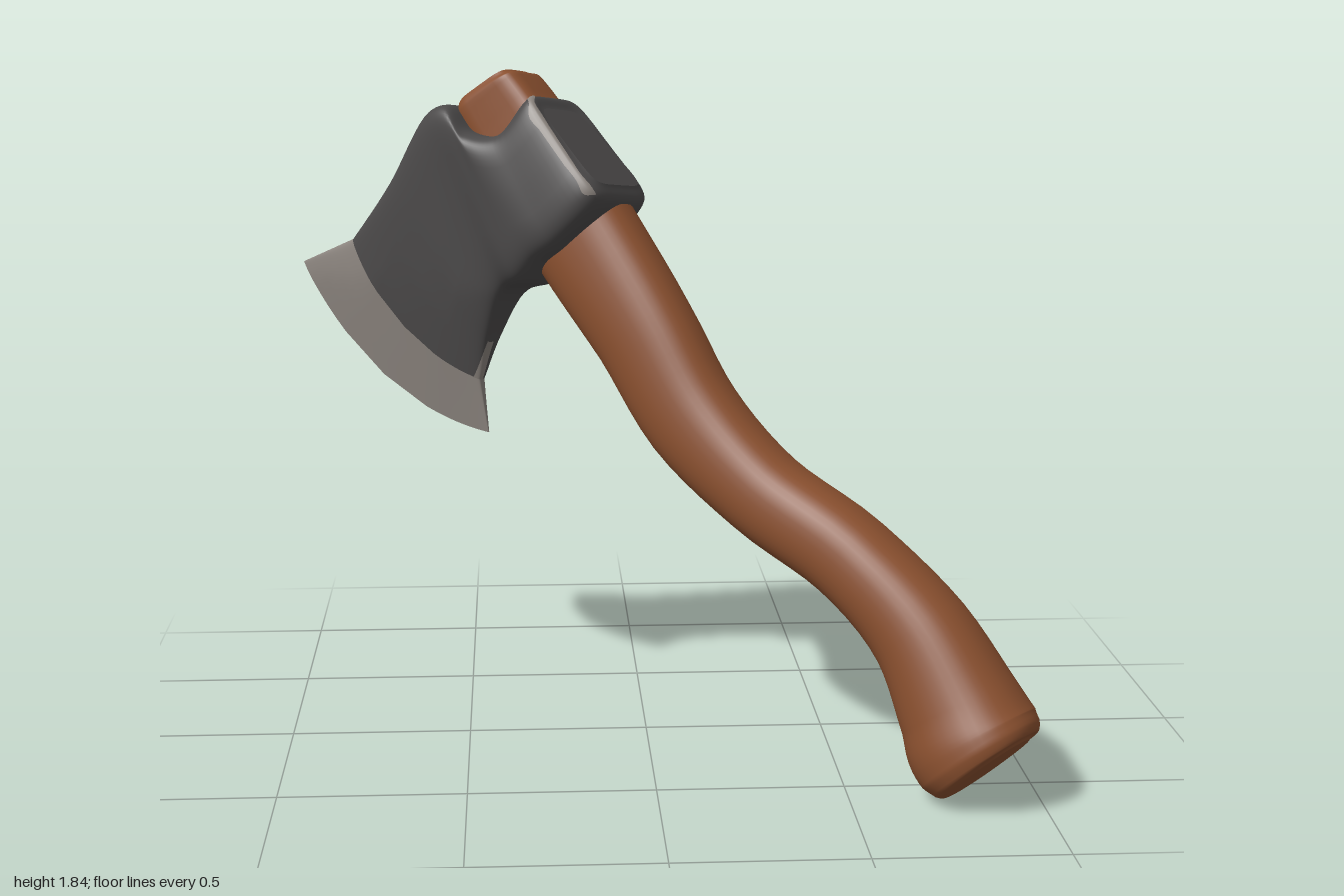
import * as THREE from 'three';

const V = (x, y, z) => new THREE.Vector3(x, y, z);

// The axe lies in one slanted plane; t is the distance off that plane.
const SX = 0.676, SY = -0.157, SZ = 0.09;
const NORMAL = V(-SX, -SY, 1).normalize();
const place = (x, y, t = 0) => V(x, y, SX * x + SY * y + SZ).addScaledVector(NORMAL, t);

const power = (v, p) => Math.sign(v) * Math.abs(v) ** p;

// Skin over a list of rings, with optional flat ends
function loft(rings, { closed = true, startCap = false, endCap = false } = {}) {
  const n = rings[0].length, pos = [], index = [];
  const push = (p) => pos.push(p.x, p.y, p.z) / 3 - 1;
  rings.forEach((ring) => ring.forEach(push));
  for (let i = 0; i < rings.length - 1; i++) {
    for (let j = 0; j < (closed ? n : n - 1); j++) {
      const k = (j + 1) % n;
      const a = i * n + j, b = i * n + k, c = a + n, d = b + n;
      index.push(a, b, c, b, d, c);
    }
  }
  const cap = (ring, flip) => {
    const mid = ring.reduce((s, p) => s.add(p), V(0, 0, 0)).divideScalar(n);
    const centre = push(mid), first = pos.length / 3;
    ring.forEach(push);
    for (let j = 0; j < n; j++) {
      const a = first + j, b = first + (j + 1) % n;
      index.push(centre, flip ? b : a, flip ? a : b);
    }
  };
  if (startCap) cap(rings[0], true);
  if (endCap) cap(rings[rings.length - 1], false);
  const geo = new THREE.BufferGeometry();
  geo.setAttribute('position', new THREE.Float32BufferAttribute(pos, 3));
  geo.setIndex(index);
  geo.computeVertexNormals();
  return geo;
}

// Handle stations: x, y, half width, half thickness, squareness power
const HANDLE = [
  [-0.413, 1.785, 0.092, 0.08, 0.42],
  [-0.402, 1.762, 0.115, 0.097, 0.42],
  [-0.35, 1.68, 0.125, 0.1, 0.42],
  [-0.26, 1.53, 0.15, 0.105, 0.65],
  [-0.165, 1.37, 0.163, 0.11, 0.8],
  [-0.01, 1.13, 0.15, 0.112, 0.85],
  [0.12, 0.905, 0.14, 0.113, 0.85],
  [0.3, 0.727, 0.122, 0.117, 0.85],
  [0.52, 0.587, 0.12, 0.12, 0.85],
  [0.688, 0.417, 0.135, 0.13, 0.9],
  [0.78, 0.24, 0.164, 0.15, 0.9],
  [0.815, 0.162, 0.18, 0.162, 0.9],
  [0.834, 0.131, 0.176, 0.158, 0.9],
  [0.849, 0.107, 0.157, 0.142, 0.9],
  [0.854, 0.1, 0.13, 0.115, 0.9],
];

function handleGeometry() {
  const last = HANDLE.length - 1, steps = last * 5, sides = 40;
  // The shaft bows slightly backwards between its ends
  const path = new THREE.CatmullRomCurve3(HANDLE.map(([x, y], i) =>
    place(x, y, -0.025 * Math.sin((Math.PI * i) / last))));
  const size = new THREE.CatmullRomCurve3(HANDLE.map(([, , w, t, p]) => V(w, t, p)));
  const rings = [];
  for (let i = 0; i <= steps; i++) {
    const c = path.getPoint(i / steps), s = size.getPoint(i / steps);
    const side = NORMAL.clone().cross(path.getTangent(i / steps)).normalize();
    rings.push(Array.from({ length: sides }, (_, j) => {
      const a = (j / sides) * Math.PI * 2;
      return c.clone()
        .addScaledVector(side, s.x * power(Math.cos(a), s.z))
        .addScaledVector(NORMAL, s.y * power(Math.sin(a), s.z));
    }));
  }
  return loft(rings, { startCap: true, endCap: true });
}

// Head stations from poll to blade: top, bottom (x, y, half thickness), optional middle
const HEAD = [
  [V(-0.23, 1.73, 0.105), V(-0.062, 1.53, 0.13)],
  [V(-0.254, 1.762, 0.138), V(-0.056, 1.482, 0.16)],
  [V(-0.34, 1.65, 0.165), V(-0.167, 1.35, 0.168)],
  [V(-0.425, 1.655, 0.172), V(-0.23, 1.3, 0.158)],
  [V(-0.485, 1.725, 0.163), V(-0.29, 1.24, 0.137)],
  [V(-0.543, 1.71, 0.15), V(-0.355, 1.21, 0.095)],
  [V(-0.69, 1.495, 0.095), V(-0.425, 1.08, 0.055), V(-0.56, 1.28, 0.08)],
  [V(-0.835, 1.32, 0.028), V(-0.475, 0.945, 0.022), V(-0.68, 1.075, 0.03)],
];
const EDGE = [V(-1, 1.24, 0.004), V(-0.468, 0.79, 0.004), V(-0.772, 0.925, 0.004)];

const rails = [0, 1, 2].map((k) => new THREE.CatmullRomCurve3(
  HEAD.map((s) => s[k] ?? s[0].clone().lerp(s[1], 0.5))));

// Point on a rounded-box section whose spine bends through top, middle and bottom;
// the low heel of the blade leans slightly backwards
function sectionPoint([top, bottom, mid], angle) {
  const s = 0.5 + 0.5 * power(Math.cos(angle), 0.34);
  const p = V(0, 0, 0)
    .addScaledVector(top, (1 - s) * (1 - 2 * s))
    .addScaledVector(mid, 4 * s * (1 - s))
    .addScaledVector(bottom, s * (2 * s - 1));
  const lean = -0.12 * Math.max(0, 1.2 - p.y);
  return place(p.x, p.y, p.z * power(Math.sin(angle), 0.34) + lean);
}
const sectionRing = (section) => Array.from({ length: 72 },
  (_, j) => sectionPoint(section, (j / 72) * Math.PI * 2));
const headSection = (u) => rails.map((r) => r.getPoint(u));

function headGeometry() {
  const rings = [];
  for (let i = 0; i <= 56; i++) rings.push(sectionRing(headSection(i / 56)));
  return loft(rings, { startCap: true });
}

// Ground bevel running out to the curved cutting edge
function bevelGeometry() {
  const base = headSection(1), rings = [];
  for (let i = 0; i <= 4; i++) {
    rings.push(sectionRing(base.map((p, k) => p.clone().lerp(EDGE[k], i / 4))));
  }
  return loft(rings, { endCap: true });
}

// Thin worn patch on the head; at(a, b) gives [position along head, angle around it]
function wearGeometry(dx, dy, at) {
  const lift = V(dx, dy, 0).addScaledVector(NORMAL, 0.004);
  const rings = [];
  for (let i = 0; i <= 6; i++) {
    rings.push(Array.from({ length: 25 }, (_, j) => {
      const [u, angle] = at(i / 6, j / 24);
      return sectionPoint(headSection(u), angle).add(lift);
    }));
  }
  return loft(rings, { closed: false });
}
const pollWear = (a, b) => {
  const width = 0.036 * Math.sin(Math.PI * b) ** 0.5 * (1 + 0.25 * Math.sin(b * 17));
  return [0.13 + width * (a - 0.5) * 2, Math.PI * (0.9 - 0.7 * b)];
};
const heelWear = (a, b) => [0.88 + 0.12 * b, Math.PI * 0.2 * a * (0.3 + 0.7 * b)];

export function createModel() {
  const material = (name, color, side = THREE.FrontSide) => {
    const m = new THREE.MeshStandardMaterial({ color, side });
    m.name = name;
    return m;
  };
  const wood = material('wood', 0x8a502f);
  const iron = material('dark iron', 0x4c4a4a);
  const steel = material('bare steel', 0x8a837d, THREE.DoubleSide);

  const group = new THREE.Group();
  group.name = 'axe';
  const add = (name, geometry, mat) => {
    const mesh = new THREE.Mesh(geometry, mat);
    mesh.name = name;
    group.add(mesh);
  };
  add('handle', handleGeometry(), wood);
  add('axeHead', headGeometry(), iron);
  add('cuttingEdge', bevelGeometry(), steel);
  add('pollWear', wearGeometry(0.003, 0.003, pollWear), steel);
  add('heelWear', wearGeometry(0.003, -0.002, heelWear), steel);
  return group;
}
